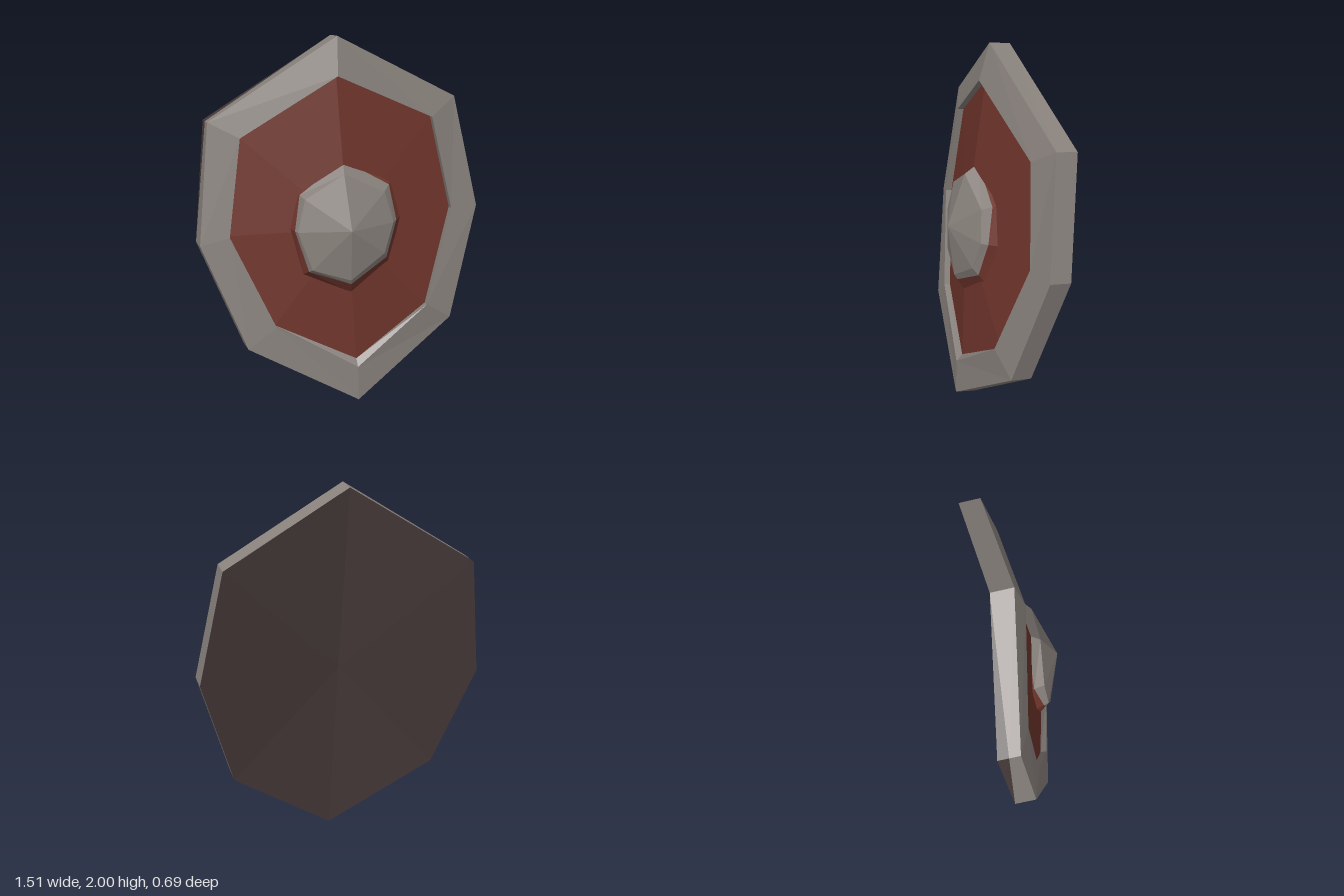
import * as THREE from 'three';

const V = (x, y, z) => new THREE.Vector3(x, y, z);
const ring = (rows) => rows.map((r) => V(...r));
const shift = (points, x, y, z) => points.map((p) => p.clone().add(V(x, y, z)));
// Ring between two others, with a blend amount for each corner
const blend = (a, b, amounts) => a.map((p, i) => p.clone().lerp(b[i], amounts[i]));

// Rings run clockwise seen from the front, starting at the top corner
const rimFront = ring([
  [-0.01, 2.0, 0.045], [0.61, 1.625, -0.24], [0.755, 1.01, -0.21], [0.62, 0.4, -0.035],
  [0.115, 0.02, 0.248], [-0.475, 0.37, 0.345], [-0.715, 0.945, 0.3], [-0.665, 1.585, 0.2],
]);
const rimInner = ring([
  [-0.005, 1.805, 0.1], [0.49, 1.535, -0.13], [0.61, 1.02, -0.125], [0.485, 0.51, 0.045],
  [0.11, 0.22, 0.242], [-0.325, 0.485, 0.305], [-0.56, 0.99, 0.285], [-0.5, 1.505, 0.208],
]);
const bossBase = ring([
  [0.02, 1.37, 0.1], [0.27, 1.22, 0.025], [0.325, 1.02, 0.02], [0.27, 0.77, 0.07],
  [0.07, 0.645, 0.19], [-0.185, 0.77, 0.235], [-0.25, 1.02, 0.22], [-0.21, 1.2, 0.18],
]);
const bossTop = ring([
  [0.03, 1.31, 0.18], [0.24, 1.19, 0.1], [0.29, 1.02, 0.105], [0.245, 0.86, 0.15],
  [0.07, 0.74, 0.245], [-0.13, 0.81, 0.28], [-0.205, 1.02, 0.275], [-0.17, 1.19, 0.24],
]);

// Facets joining an outer ring to an inner (or more forward) ring
function band(outer, inner) {
  return outer.flatMap((o, i) => {
    const j = (i + 1) % outer.length;
    return [o, inner[i], inner[j], o, inner[j], outer[j]];
  });
}

// Facets from a ring to one centre point
function fan(points, centre, facesBack = false) {
  return points.flatMap((p, i) => {
    const q = points[(i + 1) % points.length];
    return facesBack ? [p, q, centre] : [p, centre, q];
  });
}

export function createModel() {
  const material = (name, color) => {
    const m = new THREE.MeshStandardMaterial({ color });
    m.name = name;
    return m;
  };
  const steel = material('grey steel', 0x88817c);
  const red = material('dark red', 0x6e342b);
  const dark = material('dark brown', 0x463939);

  const model = new THREE.Group();
  model.name = 'shield';
  // Unshared corners give every facet a flat normal
  const add = (name, triangles, mat, parent = model) => {
    const geometry = new THREE.BufferGeometry().setFromPoints(triangles);
    geometry.computeVertexNormals();
    const mesh = new THREE.Mesh(geometry, mat);
    mesh.name = name;
    parent.add(mesh);
  };

  // Rim: bevelled face, outer side and the step down to the panel
  const rim = new THREE.Group();
  rim.name = 'rim';
  model.add(rim);
  const rimBack = shift(rimFront, -0.04, -0.015, -0.105);
  rimBack[4].y = 0;
  const backEdge = blend(rimBack, rimFront, [0, 0, 0, 0, 0, 0, 0, 0.5]);
  const panelEdge = shift(rimInner, -0.011, -0.004, -0.033);
  panelEdge[4].y += 0.04;
  add('rimFace', band(rimFront, rimInner), steel, rim);
  add('rimSide', band(backEdge, rimFront), steel, rim);
  add('rimStep', band(rimInner, panelEdge), steel, rim);

  // Domed front panel and hollow back
  add('frontPanel', fan(panelEdge, V(0.05, 1.01, 0.18)), red);
  add('backPanel', fan(rimBack, V(0.015, 0.985, 0.05), true), dark);
  add('backEdge', band(rimBack, backEdge), dark);

  // Central boss with a red foot under a steel cap
  const boss = new THREE.Group();
  boss.name = 'boss';
  model.add(boss);
  const bossMid = blend(bossBase, bossTop, [0.1, 0.25, 0.55, 0.6, 0.7, 0.6, 0.6, 0.2]);
  add('bossFoot', band(bossBase, bossMid), red, boss);
  add('bossWall', band(bossMid, bossTop), steel, boss);
  add('bossCap', fan(bossTop, V(0.075, 1.03, 0.275)), steel, boss);

  return model;
}
